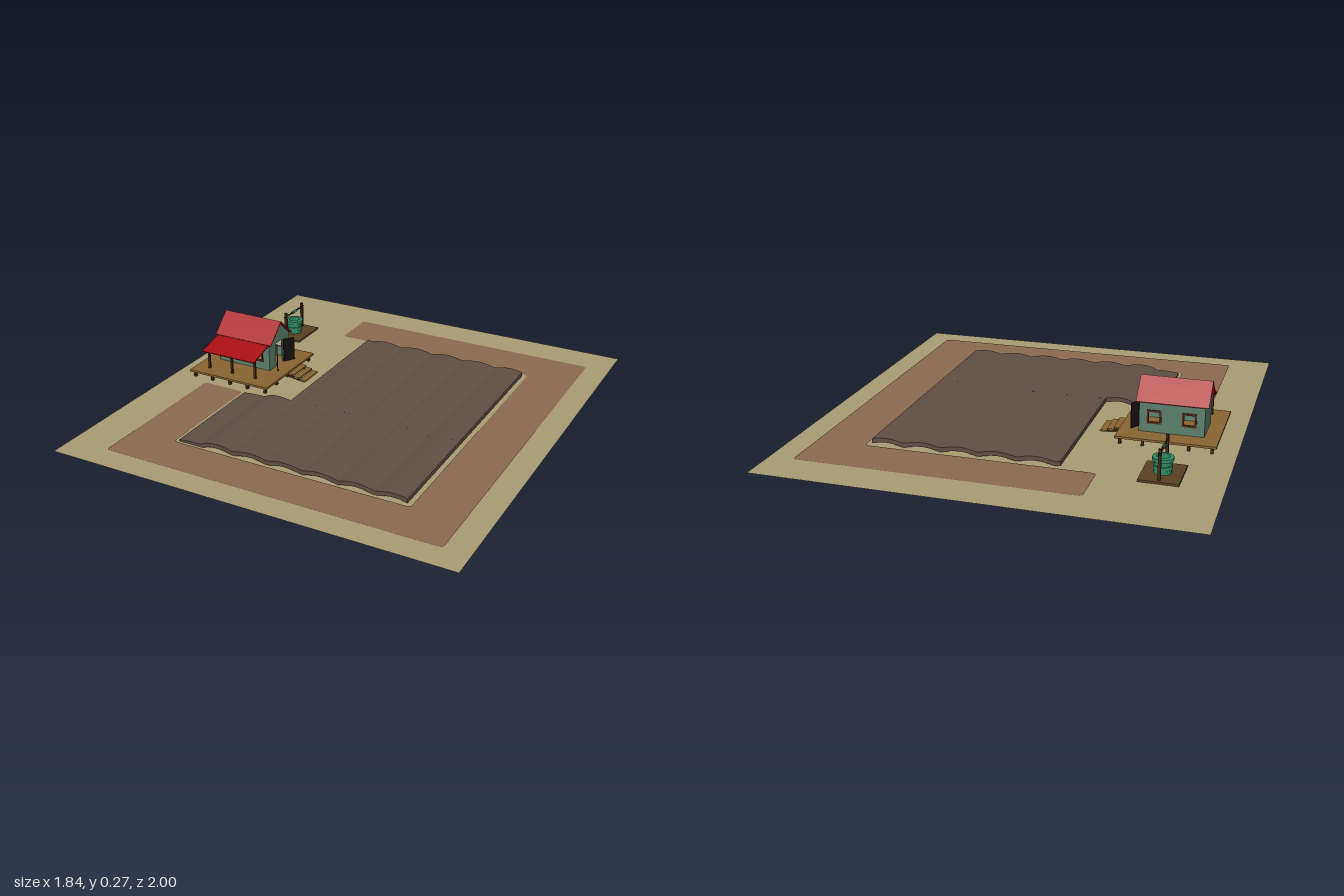
import * as THREE from 'three';

const mat = (color) => new THREE.MeshStandardMaterial({ color, flatShading: true, side: THREE.DoubleSide });
const M = {
  sand: mat(0xa89c72), path: mat(0x8b6b50), soil: mat(0x5f4e43), deck: mat(0x8a6433), wall: mat(0x5b7f6b),
  roof: mat(0xa80f12), wood: mat(0x3f2814), frame: mat(0x5e2418), door: mat(0x14110f), plinth: mat(0x5a4023),
  stone: mat(0x2f8a62), iron: mat(0x1c1a18),
};
const GROUND = 0.011;

function add(parent, name, geometry, material, x = 0, y = 0, z = 0) {
  const mesh = new THREE.Mesh(geometry, material);
  mesh.name = name;
  mesh.position.set(x, y, z);
  parent.add(mesh);
  return mesh;
}

// Box given by its lower and upper limits
function box(parent, name, material, [x0, x1], [y0, y1], [z0, z1]) {
  return add(parent, name, new THREE.BoxGeometry(x1 - x0, y1 - y0, z1 - z0), material,
    (x0 + x1) / 2, (y0 + y1) / 2, (z0 + z1) / 2);
}

// Sloping panel across x, running from (y0, z0) to (y1, z1)
function panel(parent, name, [x0, x1], y0, z0, y1, z1, thick = 0.005) {
  const g = new THREE.BoxGeometry(x1 - x0, thick, Math.hypot(y1 - y0, z1 - z0));
  const m = add(parent, name, g, M.roof, (x0 + x1) / 2, (y0 + y1) / 2, (z0 + z1) / 2);
  m.rotation.x = -Math.atan2(y1 - y0, z1 - z0);
}

function rectPath(x0, x1, y0, y1) {
  return new THREE.Path([[x0, y0], [x0, y1], [x1, y1], [x1, y0]].map((p) => new THREE.Vector2(...p)));
}

const extrude = (shape, depth) => new THREE.ExtrudeGeometry(shape, { depth, bevelEnabled: false });

// Outline with every corner rounded
function roundedShape(points, r) {
  const s = new THREE.Shape();
  const v = points.map((p) => new THREE.Vector2(...p));
  v.forEach((p, i) => {
    const a = v[(i + v.length - 1) % v.length], b = v[(i + 1) % v.length];
    const p0 = p.clone().add(a.clone().sub(p).setLength(r));
    const p1 = p.clone().add(b.clone().sub(p).setLength(r));
    if (i) s.lineTo(p0.x, p0.y); else s.moveTo(p0.x, p0.y);
    s.quadraticCurveTo(p.x, p.y, p1.x, p1.y);
  });
  s.closePath();
  return s;
}

function buildTerrain(root) {
  const ground = add(root, 'ground', new THREE.PlaneGeometry(1.84, 2), M.sand, 0, GROUND, 0);
  ground.rotation.x = -Math.PI / 2;

  // Dirt road wrapping the field
  const outline = [[-0.41, -0.83], [0.81, -0.83], [0.81, 0.89], [-0.73, 0.89], [-0.73, 0.17],
    [-0.52, 0.17], [-0.52, 0.7], [0.59, 0.7], [0.59, -0.61], [-0.41, -0.61]];
  const road = add(root, 'dirtRoad', new THREE.ShapeGeometry(roundedShape(outline.map(([x, z]) => [x, -z]), 0.02)),
    M.path, 0, GROUND + 0.003, 0);
  road.rotation.x = -Math.PI / 2;

  // Ploughed field: ridges along z, sinking into the ground at the left end
  const top = (x) => {
    const ridge = 0.031 + 0.013 * Math.abs(Math.cos(Math.PI * (x + 0.315) / 0.165));
    return ridge - 0.024 * THREE.MathUtils.smoothstep(-x, 0.34, 0.5);
  };
  const strip = (name, x0, x1, z0, z1) => {
    const n = 60, xs = Array.from({ length: n + 1 }, (_, i) => x0 + (x1 - x0) * i / n);
    const pts = xs.map((x) => new THREE.Vector2(x, top(x)));
    xs.reverse().forEach((x) => pts.push(new THREE.Vector2(x, Math.max(0, top(x) - 0.019))));
    add(root, name, extrude(new THREE.Shape(pts), z1 - z0), M.soil, 0, 0, z0);
  };
  strip('fieldFront', -0.505, 0.57, 0.18, 0.685);
  strip('fieldBack', -0.255, 0.57, -0.585, 0.18);
}

function buildHouse(root) {
  const house = new THREE.Group();
  house.name = 'house';
  root.add(house);
  const X = [-0.77, -0.49], Z = [-0.2, -0.02], floor = 0.048, eave = 0.18, ridge = 0.264, mid = -0.11;

  // Raised deck on short legs
  box(house, 'deck', M.deck, [-0.835, -0.405], [0.038, floor], [-0.29, 0.145]);
  for (let i = 0; i < 5; i++) for (let j = 0; j < 5; j++) {
    if (i % 4 && j % 4) continue;
    const x = -0.815 + i * 0.0975, z = -0.27 + j * 0.099;
    box(house, 'deckLeg', M.wood, [x - 0.006, x + 0.006], [GROUND, 0.038], [z - 0.006, z + 0.006]);
  }
  // Stairs
  for (let i = 0; i < 3; i++) {
    const x = -0.405 + i * 0.03, y = 0.04 - i * 0.01;
    box(house, 'step', M.deck, [x, x + 0.03], [y - 0.006, y], [-0.17, -0.05]);
  }
  for (const z of [-0.165, -0.055]) {
    const s = new THREE.Shape([[-0.405, 0.022], [-0.405, 0.036], [-0.32, GROUND]].map((p) => new THREE.Vector2(...p)));
    add(house, 'stairStringer', extrude(s, 0.005), M.wood, 0, 0, z - 0.0025);
  }

  // Long walls with open windows and their frames
  const windows = [[-0.728, -0.682], [-0.578, -0.532]], wy = [0.095, 0.14], f = 0.008;
  for (const [name, z, side] of [['frontWall', Z[1] - 0.006, 1], ['backWall', Z[0], -1]]) {
    const s = new THREE.Shape([[X[0], floor], [X[1], floor], [X[1], eave], [X[0], eave]].map((p) => new THREE.Vector2(...p)));
    windows.forEach(([a, b]) => s.holes.push(rectPath(a, b, ...wy)));
    add(house, name, extrude(s, 0.006), M.wall, 0, 0, z);
    for (const [a, b] of windows) {
      const fr = new THREE.Shape(rectPath(a - f, b + f, wy[0] - f, wy[1] + f).getPoints());
      fr.holes.push(rectPath(a, b, ...wy));
      add(house, 'windowFrame', extrude(fr, 0.005), M.frame, 0, 0, side > 0 ? Z[1] : Z[0] - 0.005);
    }
  }

  // Gable walls, the right one with a doorway
  for (const [name, x, door] of [['leftGable', X[0] + 0.006, false], ['rightGable', X[1], true]]) {
    const pts = door ? [[Z[0], floor], [-0.14, floor], [-0.14, 0.165], [-0.08, 0.165], [-0.08, floor], [Z[1], floor]]
      : [[Z[0], floor], [Z[1], floor]];
    pts.push([Z[1], eave], [mid, ridge], [Z[0], eave]);
    const g = extrude(new THREE.Shape(pts.map((p) => new THREE.Vector2(...p))), 0.006);
    add(house, name, g.rotateY(-Math.PI / 2), M.wall, x, 0, 0);
  }
  // Double door standing open
  for (const s of [-1, 1]) {
    const leaf = new THREE.Group();
    leaf.name = 'doorLeaf';
    leaf.position.set(X[1] + 0.004, 0, mid + s * 0.03);
    leaf.rotation.y = -s * 0.58;
    box(leaf, 'doorPanel', M.door, [0, 0.004], [floor + 0.002, 0.165], s > 0 ? [0, 0.058] : [-0.058, 0]);
    leaf.rotation.y = s * 0.58;
    house.add(leaf);
  }

  // Main roof, porch roof and posts
  panel(house, 'roofFront', [-0.785, -0.475], 0.268, mid, 0.18, -0.015);
  panel(house, 'roofBack', [-0.785, -0.475], 0.268, mid, 0.18, -0.205);
  panel(house, 'porchRoof', [-0.775, -0.49], 0.177, -0.02, 0.143, 0.115);
  for (const x of [-0.76, -0.6325, -0.505]) {
    box(house, 'porchPost', M.wood, [x - 0.005, x + 0.005], [floor, 0.15], [0.079, 0.089]);
  }
  box(house, 'porchBeam', M.wood, [-0.77, -0.495], [0.14, 0.147], [0.08, 0.088]);
}

function buildWell(root) {
  const well = new THREE.Group();
  well.name = 'well';
  well.position.set(-0.66, 0, -0.535);
  root.add(well);
  box(well, 'wellBase', M.plinth, [-0.083, 0.083], [GROUND, 0.02], [-0.1, 0.097]);
  // Stacked stone rings, hollow inside
  for (let i = 0; i < 4; i++) {
    const r = i === 3 ? 0.044 : 0.036 + (i % 2) * 0.003, y = 0.02 + i * 0.0175;
    const ring = [[0.027, y], [r, y], [r, y + 0.0155], [0.027, y + 0.0175], [0.027, y]];
    add(well, 'stoneRing', new THREE.LatheGeometry(ring.map((p) => new THREE.Vector2(...p)), 14), M.stone);
  }
  // Posts, crossbar and winding drum
  for (const z of [-0.077, 0.08]) {
    box(well, 'wellPost', M.wood, [-0.006, 0.006], [0.02, 0.15], [z - 0.006, z + 0.006]);
  }
  const bar = add(well, 'crossbar', new THREE.CylinderGeometry(0.004, 0.004, 0.19, 8), M.wood, 0, 0.13, 0.002);
  bar.rotation.x = Math.PI / 2;
  const drum = add(well, 'ropeDrum', new THREE.CylinderGeometry(0.007, 0.007, 0.035, 10), M.stone, 0, 0.13, 0);
  drum.rotation.x = Math.PI / 2;
}

export function createModel() {
  const root = new THREE.Group();
  root.name = 'farmstead';
  buildTerrain(root);
  buildHouse(root);
  buildWell(root);
  return root;
}
